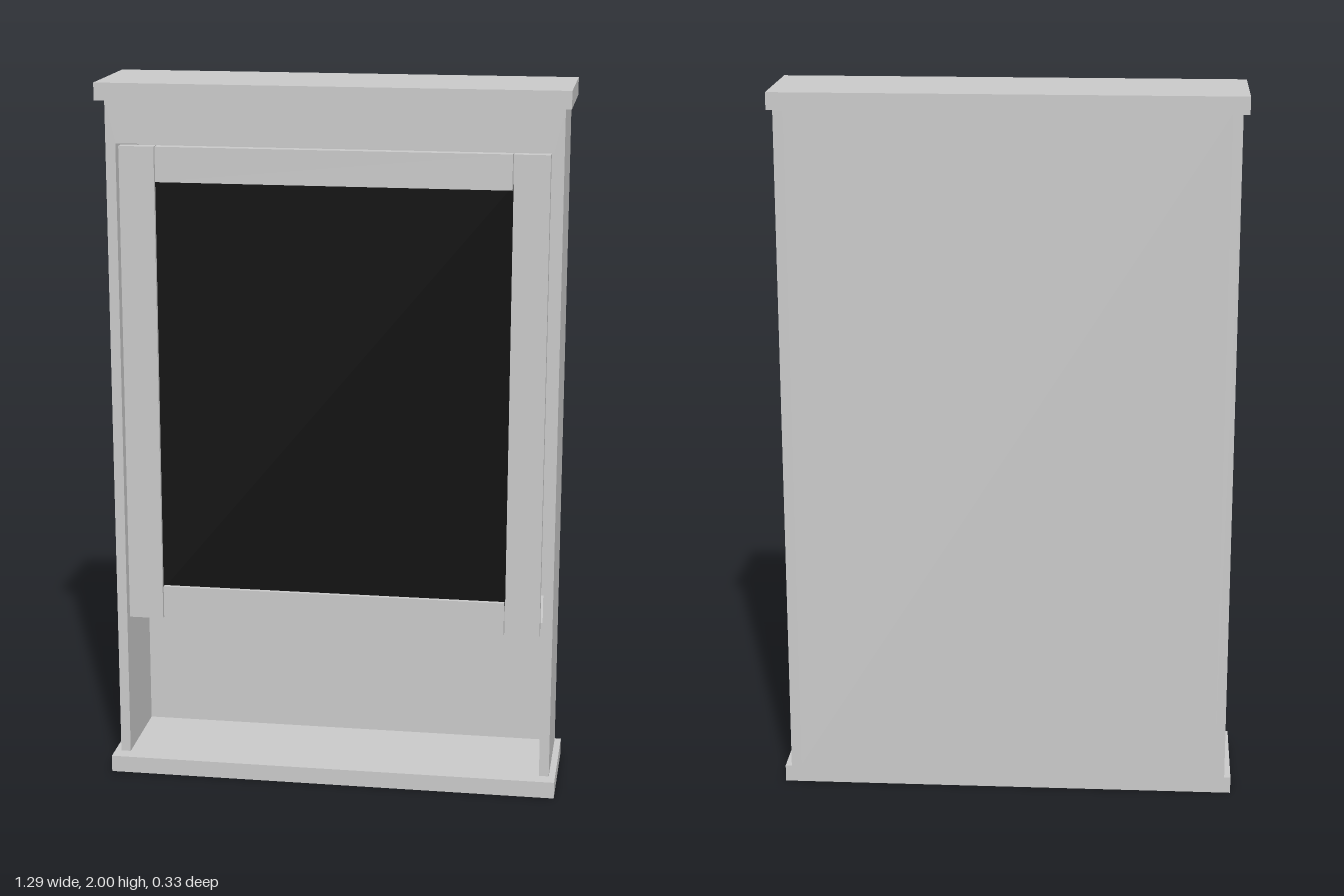
import * as THREE from 'three';

const grey = new THREE.MeshStandardMaterial({ color: 0xcccccc, flatShading: true });
const black = new THREE.MeshStandardMaterial({ color: 0x0d0d0d, flatShading: true });

// Overall limits of the cabinet
const BACK = -0.163, FRONT = 0.12;
const SLAB = 0.048;            // thickness of the top and bottom boards
const OUTER = 0.625, INNER = 0.597; // outer and inner faces of the side panels
const FACE = 0.03;             // thickness of the face frame and door

export function createModel() {
  const group = new THREE.Group();

  // Box given by its limits on each axis
  function board(name, [x0, x1], [y0, y1], [z0, z1], material = grey, parent = group) {
    const mesh = new THREE.Mesh(new THREE.BoxGeometry(x1 - x0, y1 - y0, z1 - z0), material);
    mesh.position.set((x0 + x1) / 2, (y0 + y1) / 2, (z0 + z1) / 2);
    mesh.name = name;
    parent.add(mesh);
  }

  // Overhanging top and bottom boards
  board('bottomBoard', [-0.643, 0.643], [0, SLAB], [BACK, 0.163]);
  board('topBoard', [-0.643, 0.643], [2 - SLAB, 2], [BACK, 0.163]);

  // Side panels, back panel and the shelf above the open niche
  board('leftSide', [INNER, OUTER], [SLAB, 2 - SLAB], [BACK, FRONT - FACE]);
  board('rightSide', [-OUTER, -INNER], [SLAB, 2 - SLAB], [BACK, FRONT - FACE]);
  board('backPanel', [-INNER, INNER], [SLAB, 2 - SLAB], [BACK, BACK + 0.015]);
  board('nicheShelf', [-INNER, INNER], [0.468, 0.498], [BACK + 0.015, FRONT - FACE - 0.005]);

  // One-piece face frame: two side edges joined by the header
  const headerBottom = 1.831;
  const outline = new THREE.Shape([
    [-OUTER, SLAB], [-INNER, SLAB], [-INNER, headerBottom], [INNER, headerBottom],
    [INNER, SLAB], [OUTER, SLAB], [OUTER, 2 - SLAB], [-OUTER, 2 - SLAB],
  ].map(([x, y]) => new THREE.Vector2(x, y)));
  const faceFrame = new THREE.Mesh(
    new THREE.ExtrudeGeometry(outline, { depth: FACE, bevelEnabled: false }), grey);
  faceFrame.position.z = FRONT - FACE;
  faceFrame.name = 'faceFrame';
  group.add(faceFrame);

  // Door: stiles, rails and a slightly recessed mirror
  const door = new THREE.Group();
  door.name = 'door';
  group.add(door);
  const bottom = 0.465, top = 1.824, edge = 0.589, stile = 0.491, rail = 0.488;
  const depth = [FRONT - FACE, FRONT];
  board('leftStile', [stile, edge], [bottom, top], depth, grey, door);
  board('rightStile', [-edge, -stile], [bottom, top], depth, grey, door);
  board('bottomRail', [-rail, rail], [bottom, 0.562], depth, grey, door);
  board('topRail', [-rail, rail], [1.727, top], depth, grey, door);
  board('mirror', [-stile, stile], [0.55, 1.74], [FRONT - 0.025, FRONT - 0.013], black, door);

  return group;
}
